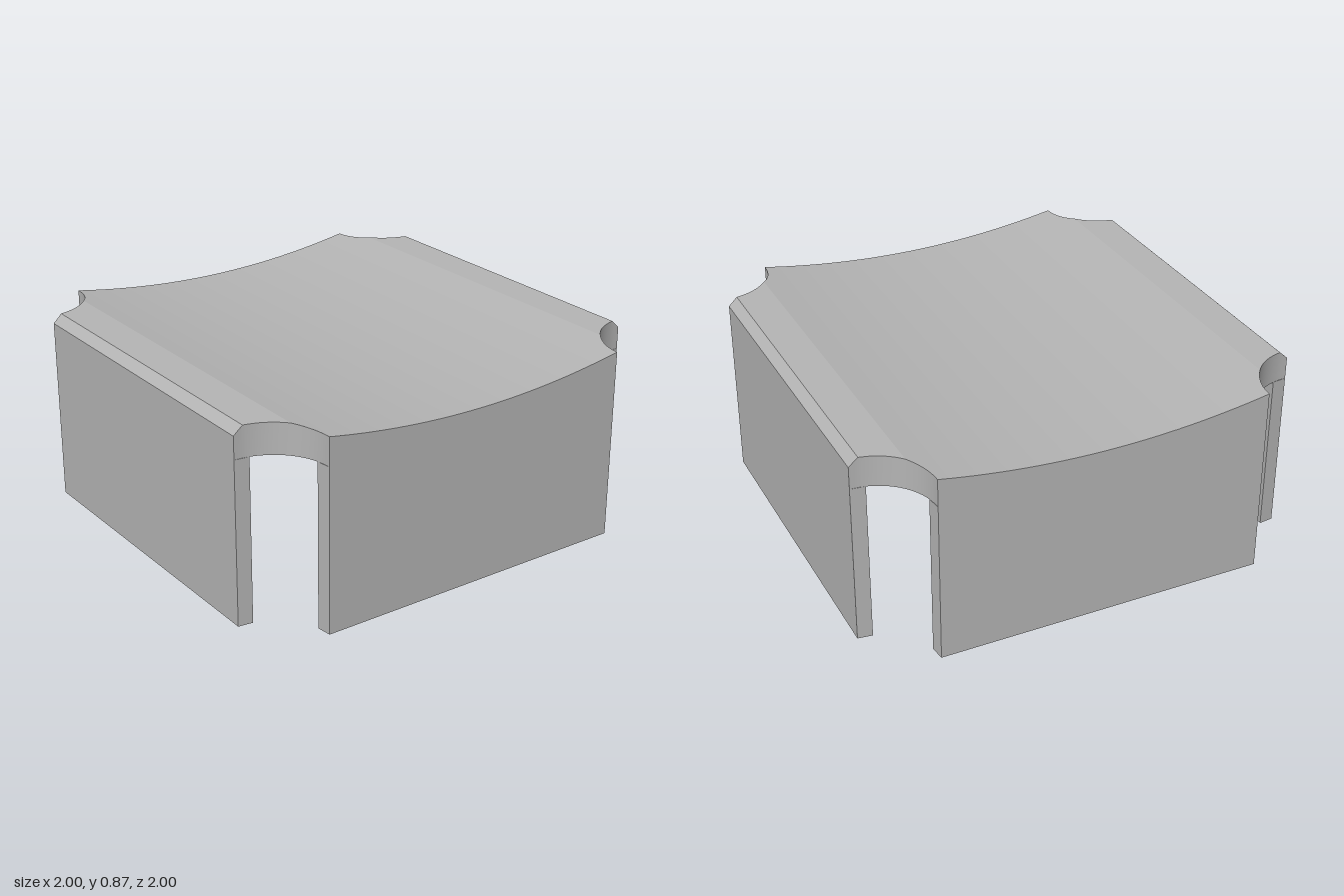
import * as THREE from 'three';
import { toCreasedNormals } from 'three/addons/utils/BufferGeometryUtils.js';

const R = 0.26;        // corner notch radius
const CEILING = 0.73;  // underside of the top slab
const WALL = 0.065;

// Half depth of the plan at x, following the round corner notches
function halfDepth(x) {
  const d = 1 - Math.abs(x);
  return d >= R ? 1 : 1 - Math.sqrt(R * R - d * d);
}

// Height of the dished top with flat shoulders and chamfered sides
function topHeight(x) {
  const a = Math.abs(x);
  if (a > 0.96) return 0.867 - (a - 0.96) * 0.925;
  if (a > 0.8) return 0.867;
  return 0.787 + 0.08 * (a / 0.8) ** 2;
}

// Top slab: rectangular sections lofted along x
function slabGeometry() {
  const xs = [-0.96, -0.8, 0.8, 0.96];
  for (let i = 0; i <= 16; i++) {
    const x = 1 - R * Math.cos((i / 16) * Math.PI / 2);
    xs.push(x, -x);
  }
  for (let i = 1; i < 28; i++) xs.push(-0.74 + 1.48 * i / 28);
  xs.sort((a, b) => a - b);
  const rings = xs.map((x) => {
    const z = halfDepth(x), t = topHeight(x);
    return [[x, t, z], [x, t, -z], [x, CEILING, -z], [x, CEILING, z]];
  });
  const pos = [];
  const quad = (a, b, c, d) => pos.push(...a, ...b, ...c, ...a, ...c, ...d);
  for (let i = 0; i < rings.length - 1; i++) {
    const p = rings[i], q = rings[i + 1];
    for (let j = 0; j < 4; j++) {
      const k = (j + 1) % 4;
      quad(p[j], q[j], q[k], p[k]);
    }
  }
  quad(...rings[0]);
  quad(...rings[rings.length - 1].slice().reverse());
  const g = new THREE.BufferGeometry();
  g.setAttribute('position', new THREE.Float32BufferAttribute(pos, 3));
  return toCreasedNormals(g, 0.15);
}

// Extrude a plan shape upward from y0 to y1
function extrudeUp(shape, y0, y1) {
  const g = new THREE.ExtrudeGeometry(shape, { depth: y1 - y0, bevelEnabled: false });
  return g.rotateX(-Math.PI / 2).translate(0, y0, 0);
}

const shapeOf = (pts) => new THREE.Shape(pts.map(([x, y]) => new THREE.Vector2(x, y)));

function crossPath(l, w) {
  return shapeOf([[w, l], [-w, l], [-w, w], [-l, w], [-l, -w], [-w, -w],
    [-w, -l], [w, -l], [w, -w], [l, -w], [l, w], [w, w]]);
}

function blockShape(h, l, w) {
  const s = shapeOf([[-h, -h], [h, -h], [h, h], [-h, h]]);
  s.holes.push(crossPath(l, w));
  return s;
}

export function createModel() {
  const grey = new THREE.MeshStandardMaterial({ color: 0xb4b4b4 });
  grey.name = 'plain grey';
  const model = new THREE.Group();
  model.name = 'cap';
  const add = (name, geometry) => {
    const m = new THREE.Mesh(geometry, grey);
    m.name = name;
    model.add(m);
    return m;
  };

  add('dishedTop', slabGeometry());

  // Four side walls, their ends following the notches
  const inner = 1 - Math.sqrt(R * R - WALL * WALL);
  const wall = extrudeUp(shapeOf([[-0.74, -1], [0.74, -1], [inner, WALL - 1], [-inner, WALL - 1]]), 0, CEILING);
  ['frontWall', 'leftWall', 'backWall', 'rightWall'].forEach((name, i) => {
    add(name, wall).rotation.y = i * Math.PI / 2;
  });

  // Mounting block with a stepped cross socket
  const h = 0.36, lipTop = 0.535, socketTop = 0.65;
  add('socketLip', extrudeUp(blockShape(h, 0.275, 0.1), 0.5, lipTop));
  add('socketBody', extrudeUp(blockShape(h, 0.24, 0.065), lipTop, socketTop));
  const base = new THREE.BoxGeometry(2 * h, CEILING - socketTop + 0.01, 2 * h);
  add('socketBase', base.translate(0, (CEILING + socketTop + 0.01) / 2, 0));
  return model;
}
